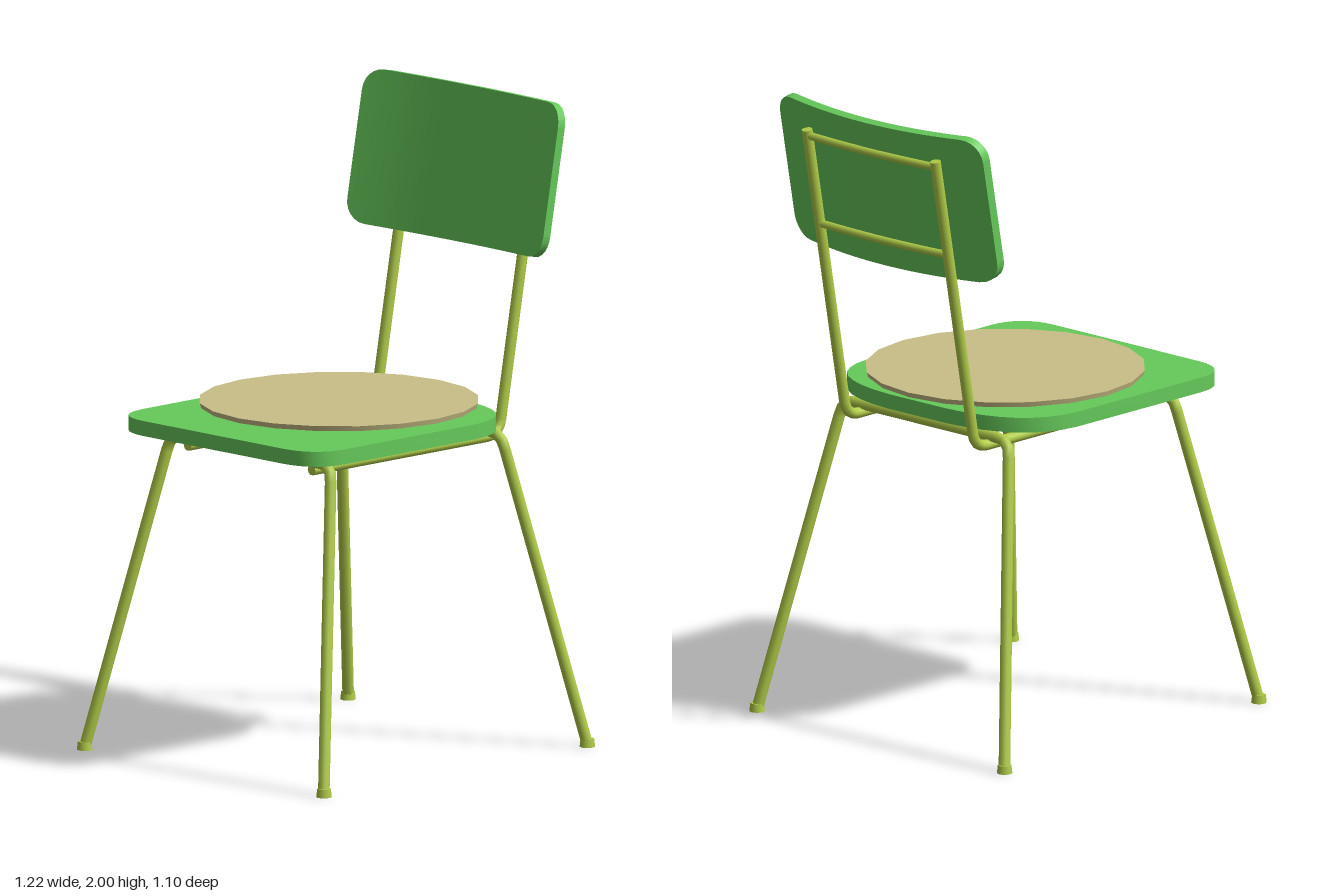
import * as THREE from 'three';
import { toCreasedNormals } from 'three/addons/utils/BufferGeometryUtils.js';

const green = new THREE.MeshStandardMaterial({ color: 0x66c95a });
const tubing = new THREE.MeshStandardMaterial({ color: 0xb0cc48 });
const fabric = new THREE.MeshStandardMaterial({ color: 0xc9bf87 });

const V = (x, y, z) => new THREE.Vector3(x, y, z);

function add(parent, name, geometry, material) {
  const mesh = new THREE.Mesh(geometry, material);
  mesh.name = name;
  parent.add(mesh);
  return mesh;
}

// Round tube along straight runs, with each inner corner bent over the given length
function addTube(parent, name, points, radius, bend = 0.05) {
  const path = new THREE.CurvePath();
  const last = points.length - 1;
  let from = points[0];
  for (let i = 1; i < last; i++) {
    const p = points[i];
    const a = p.clone().add(points[i - 1].clone().sub(p).setLength(bend));
    const b = p.clone().add(points[i + 1].clone().sub(p).setLength(bend));
    path.add(new THREE.LineCurve3(from, a));
    path.add(new THREE.QuadraticBezierCurve3(a, p, b));
    from = b;
  }
  path.add(new THREE.LineCurve3(from, points[last]));
  const group = new THREE.Group();
  group.name = name;
  parent.add(group);
  add(group, name + 'Tube', new THREE.TubeGeometry(path, 90, radius, 10), tubing);
  for (const [end, inner] of [[points[0], points[1]], [points[last], points[last - 1]]]) {
    const cap = add(group, name + 'End', new THREE.CircleGeometry(radius, 10), tubing);
    cap.position.copy(end);
    cap.lookAt(end.clone().multiplyScalar(2).sub(inner));
  }
}

// Seat board: tight corners at the front, broad ones towards the back
function seatGeometry() {
  const s = new THREE.Shape();
  s.moveTo(-0.42, -0.445);
  s.lineTo(0.14, -0.445);
  s.quadraticCurveTo(0.37, -0.43, 0.385, -0.12);
  s.lineTo(0.385, 0.12);
  s.quadraticCurveTo(0.37, 0.43, 0.14, 0.445);
  s.lineTo(-0.42, 0.445);
  s.quadraticCurveTo(-0.545, 0.44, -0.55, 0.31);
  s.lineTo(-0.55, -0.31);
  s.quadraticCurveTo(-0.545, -0.44, -0.42, -0.445);
  const g = new THREE.ExtrudeGeometry(s, { depth: 0.047, bevelEnabled: false, curveSegments: 8 });
  g.rotateX(-Math.PI / 2);
  return toCreasedNormals(g, 0.6);
}

// Backrest panel: a box with rounded outline corners, bowed backwards
function backrestGeometry() {
  const W = 0.43, H = 0.24, R = 0.07;
  const g = new THREE.BoxGeometry(0.03, 2, 2, 1, 1, 32);
  const p = g.attributes.position;
  for (let i = 0; i < p.count; i++) {
    const z = W * Math.sin(p.getZ(i) * Math.PI / 2);
    const over = Math.max(0, Math.abs(z) - (W - R));
    const h = H - R + Math.sqrt(Math.max(0, R * R - over * over));
    p.setXYZ(i, p.getX(i) + 0.055 * (1 - (z / W) ** 2), p.getY(i) * h, z);
  }
  g.computeVertexNormals();
  return g;
}

export function createModel() {
  const chair = new THREE.Group();
  chair.name = 'chair';

  const seat = add(chair, 'seat', seatGeometry(), green);
  seat.position.y = 1.008;

  const cushion = add(chair, 'cushion', new THREE.CylinderGeometry(0.433, 0.428, 0.016, 20), fabric);
  cushion.position.set(-0.006, 1.083, -0.004);

  const backrest = add(chair, 'backrest', backrestGeometry(), green);
  backrest.position.set(0.495, 1.762, 0);
  backrest.rotation.z = -0.187;

  // Two leg frames, each an upside-down U with splayed legs and feet
  for (const [name, foot, top] of [['front', -0.59, -0.388], ['rear', 0.545, 0.342]]) {
    addTube(chair, name + 'Legs', [
      V(foot, 0.01, 0.524), V(top, 0.987, 0.35),
      V(top, 0.987, -0.35), V(foot, 0.01, -0.524),
    ], 0.018, 0.045);
    for (const side of [1, -1]) {
      const cap = add(chair, name + 'Foot', new THREE.CylinderGeometry(0.021, 0.024, 0.026, 8), tubing);
      cap.position.set(foot, 0.013, side * 0.525);
    }
  }

  // Rails under the seat that turn up into the back supports
  for (const side of [1, -1]) {
    const z = side * 0.272;
    addTube(chair, 'backSupport', [
      V(-0.395, 0.962, z), V(0.412, 0.962, z), V(0.588, 1.91, z),
    ], 0.017, 0.05);
  }

  // Slightly bowed cross bars behind the backrest
  for (const [x, y] of [[0.53, 1.6], [0.583, 1.89]]) {
    const curve = new THREE.QuadraticBezierCurve3(
      V(x, y, 0.272), V(x + 0.018, y - 0.003, 0), V(x, y, -0.272));
    add(chair, 'crossBar', new THREE.TubeGeometry(curve, 16, 0.013, 8), tubing);
  }

  return chair;
}
